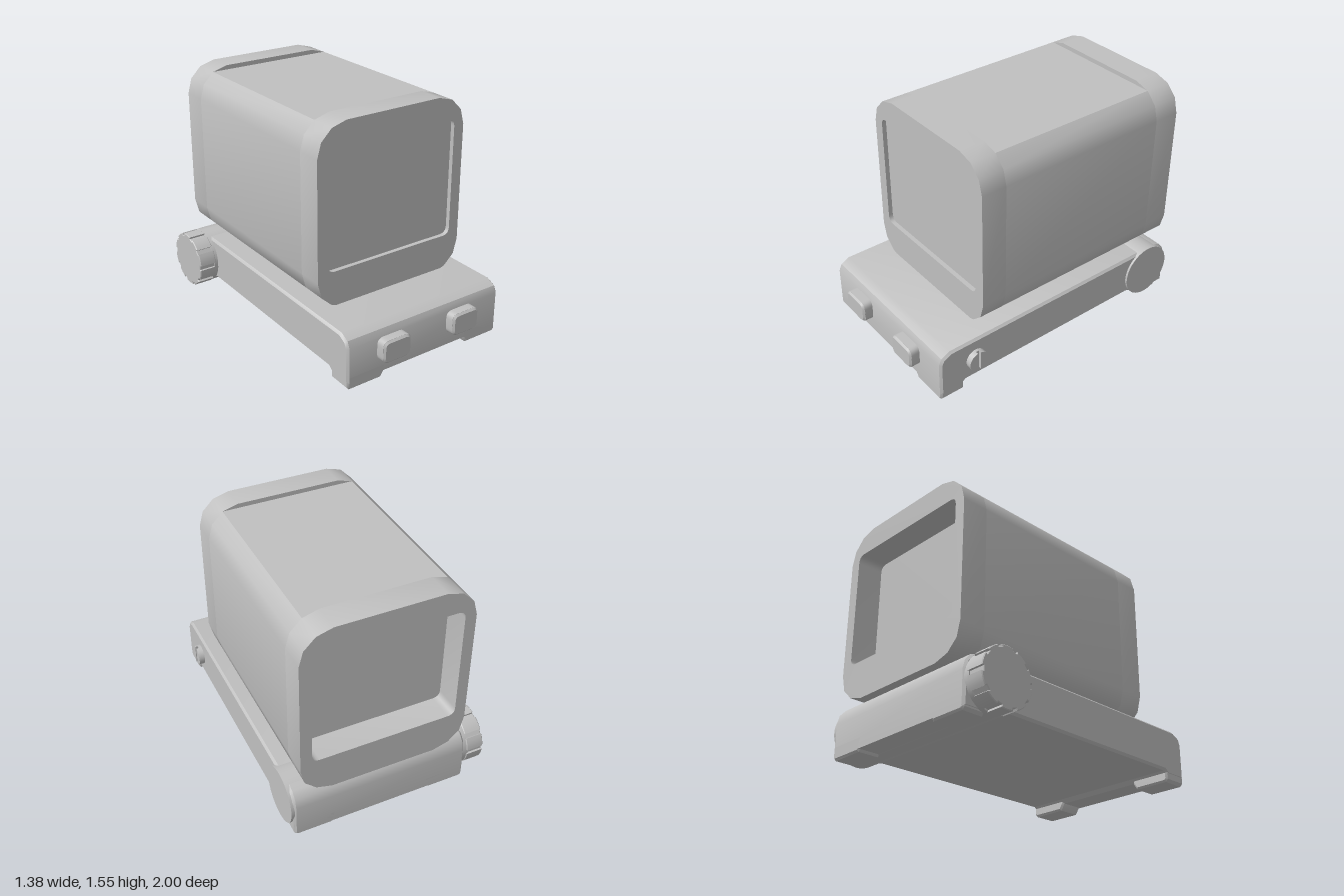
import * as THREE from 'three';
import { toCreasedNormals } from 'three/addons/utils/BufferGeometryUtils.js';

const CX = 0.05; // mirror plane of the housing and the base

function polygon(points) {
  return new THREE.Shape(points.map(([x, y]) => new THREE.Vector2(x, y)));
}

function roundedRect(x0, y0, x1, y1, r, target = new THREE.Shape()) {
  target.moveTo(x0 + r, y0);
  target.lineTo(x1 - r, y0).quadraticCurveTo(x1, y0, x1, y0 + r);
  target.lineTo(x1, y1 - r).quadraticCurveTo(x1, y1, x1 - r, y1);
  target.lineTo(x0 + r, y1).quadraticCurveTo(x0, y1, x0, y1 - r);
  target.lineTo(x0, y0 + r).quadraticCurveTo(x0, y0, x0 + r, y0);
  return target;
}

// Extrude between two depths; a bevel stays inside the outline.
function extrude(shape, from, to, bevel = 0) {
  const g = new THREE.ExtrudeGeometry(shape, {
    depth: to - from - 2 * bevel, curveSegments: 5, bevelEnabled: bevel > 0,
    bevelSize: bevel, bevelThickness: bevel, bevelOffset: -bevel, bevelSegments: 1,
  });
  g.translate(0, 0, from + bevel);
  return toCreasedNormals(g, 0.62);
}

// Extrude a side profile, given as [z, y], along x.
function extrudeX(points, from, to, bevel = 0) {
  const g = extrude(polygon(points.map(([z, y]) => [-z, y])), from, to, bevel);
  return g.rotateY(Math.PI / 2);
}

export function createModel() {
  const model = new THREE.Group();
  model.name = 'reflexSight';
  const grey = new THREE.MeshStandardMaterial({ color: 0xc0c0c0 });
  grey.name = 'grey';

  const add = (name, geometry, parent = model) => {
    const mesh = new THREE.Mesh(geometry, grey);
    mesh.name = name;
    parent.add(mesh);
    return mesh;
  };

  // Housing: two raised end frames and a middle with a lowered top
  const half = [[0.35, 0.345], [0.455, 0.375], [0.53, 0.445], [0.5575, 0.55],
    [0.5575, 1.35], [0.53, 1.45], [0.455, 1.525], [0.35, 1.555]];
  const outline = (pts) => polygon([
    ...pts.map(([x, y]) => [CX - 0.0025 + x, y]),
    ...pts.slice().reverse().map(([x, y]) => [CX - 0.0025 - x, y]),
  ]);
  const frame = () => {
    const s = outline(half);
    s.holes.push(roundedRect(-0.435, 0.6, 0.53, 1.395, 0.05, new THREE.Path()));
    return s;
  };
  const housing = new THREE.Group();
  housing.name = 'housing';
  model.add(housing);
  add('frontFrame', extrude(frame(), 0.395, 0.57), housing);
  add('middleHousing', extrude(outline(half.slice(0, 7)), -0.82, 0.395), housing);
  add('rearFrame', extrude(frame(), -1, -0.82), housing);
  add('frontLens', extrude(roundedRect(-0.44, 0.595, 0.535, 1.4, 0.05), 0.5, 0.54), housing);

  // Base plate with a low front bar and a sloped rear bar underneath
  add('base', extrudeX([
    [0.93, 0.05], [0.93, 0.29], [0.91, 0.335], [0.85, 0.365],
    [-0.87, 0.365], [-0.94, 0.345], [-0.98, 0.3], [-0.995, 0.24],
    [-0.995, 0.02], [-0.82, 0.02], [-0.64, 0.075], [0.74, 0.075], [0.77, 0.05],
  ], -0.55, 0.65, 0.015));

  // Four clamp feet
  const footPoints = [[0.215 + 0.1, 0.1], [0.315, 0.05], [0.345, 0.004],
    [0.58, 0.004], [0.597, 0.022], [0.597, 0.1]];
  for (const side of [1, -1]) {
    const shape = polygon(footPoints.map(([x, y]) => [CX + side * x, y]));
    add('frontFoot', extrude(shape, 0.755, 0.93, 0.012));
    add('rearFoot', extrude(shape, -0.995, -0.835, 0.012));
  }

  // Cross pin running through the rear of the base
  const pinY = 0.197, pinZ = -0.805;
  const pin = new THREE.CylinderGeometry(0.184, 0.184, 1.245, 40);
  pin.rotateZ(Math.PI / 2).translate(0.0425, pinY, pinZ);
  add('crossPin', pin);

  // Slotted clamp knob on the right side
  const rim = [];
  const slots = 10, slotHalf = 0.085;
  for (let i = 0; i < slots; i++) {
    const a = (i / slots) * Math.PI * 2;
    const next = a + (Math.PI * 2) / slots;
    const at = (r, t) => rim.push([r * Math.cos(t), r * Math.sin(t)]);
    at(0.176, a - slotHalf);
    at(0.176, a + slotHalf);
    for (let k = 0; k <= 4; k++) {
      at(0.19, a + slotHalf + (k / 4) * (next - a - 2 * slotHalf));
    }
  }
  add('clampKnob', extrudeX(rim, -0.69, -0.57, 0.005)).position.set(0, pinY + 0.003, pinZ);

  // Two control buttons on the front face
  for (const x of [-0.33, 0.215]) {
    add('buttonRim', extrude(roundedRect(x, 0.137, x + 0.21, 0.29, 0.045), 0.92, 0.987));
    add('button', extrude(roundedRect(x + 0.001, 0.138, x + 0.209, 0.289, 0.045), 0.97, 1, 0.012));
  }

  // Adjustment screw on the left side: disc and two half heads around a slot
  const screw = new THREE.Group();
  screw.name = 'adjustmentScrew';
  screw.position.set(0, 0.215, 0.665);
  model.add(screw);
  const disc = new THREE.CylinderGeometry(0.07, 0.07, 0.04, 32);
  add('screwBody', disc.rotateZ(Math.PI / 2).translate(0.65, 0, 0), screw);
  const gap = Math.asin(0.011 / 0.07);
  for (const side of [1, -1]) {
    const arc = [];
    for (let i = 0; i <= 14; i++) {
      const t = -Math.PI / 2 + gap + (i / 14) * (Math.PI - 2 * gap);
      arc.push([side * 0.07 * Math.cos(t), 0.07 * Math.sin(t)]);
    }
    add('screwHeadHalf', extrudeX(arc, 0.668, 0.69), screw);
  }
  return model;
}
